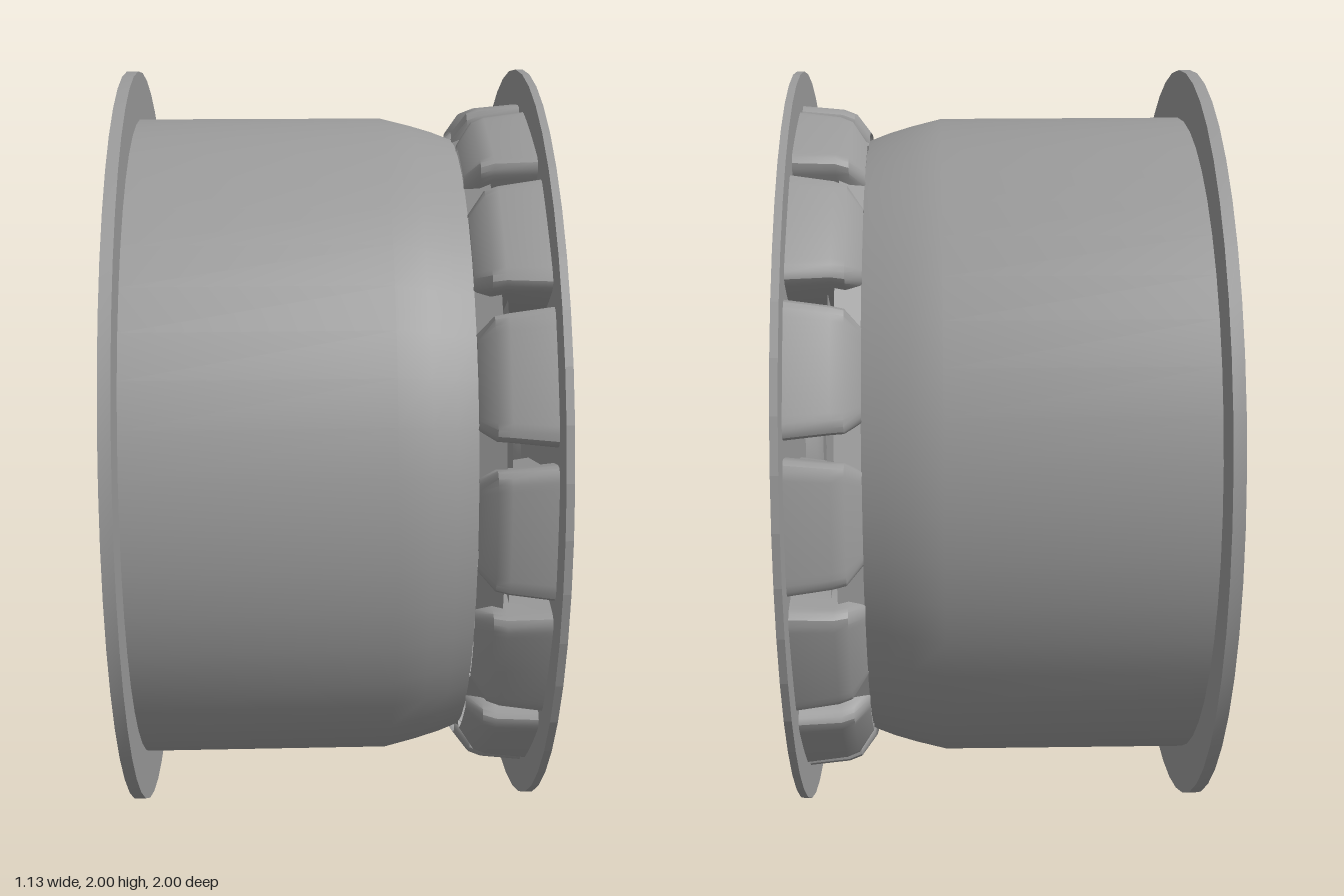
import * as THREE from 'three';
import { toCreasedNormals, mergeGeometries } from 'three/addons/utils/BufferGeometryUtils.js';

const COUNT = 15;
const STEP = (Math.PI * 2) / COUNT;
const metal = new THREE.MeshStandardMaterial({ color: 0x9a9a9a, side: THREE.DoubleSide });
const red = new THREE.MeshStandardMaterial({ color: 0x8a0010 });

// The wheel is built with its axle along z, then turned to +x at the end.
function add(parent, name, geometry, material = metal) {
  const mesh = new THREE.Mesh(geometry, material);
  mesh.name = name;
  parent.add(mesh);
  return mesh;
}

// Turned part from [radius, axle position] pairs
function turned(profile, segments = 48, crease = 0.5) {
  const g = new THREE.LatheGeometry(profile.map(([r, a]) => new THREE.Vector2(r, a)), segments);
  g.rotateX(Math.PI / 2);
  return toCreasedNormals(g, crease);
}

// Rounded wedge window: x runs outward along the radius, y across it
function windowOutline() {
  const s = new THREE.Shape();
  s.moveTo(0.43, -0.047);
  s.lineTo(0.86, -0.138);
  s.quadraticCurveTo(0.897, -0.146, 0.899, -0.112);
  s.quadraticCurveTo(0.908, 0, 0.899, 0.112);
  s.quadraticCurveTo(0.897, 0.146, 0.86, 0.138);
  s.lineTo(0.43, 0.047);
  s.bezierCurveTo(0.343, 0.036, 0.343, -0.036, 0.43, -0.047);
  return s.getSpacedPoints(90).slice(0, -1);
}

// Walled tunnel behind a window, deeper and inset towards the rim:
// four rings down the inside, then three back up the outside
function pocketGeometry(outline) {
  const rings = [[], [], [], [], [], [], []];
  for (const { x: u, y: v } of outline) {
    const deep = THREE.MathUtils.smoothstep(u, 0.64, 0.82);
    const half = Math.max(u * 0.2126 - 0.045, 0.035);
    const uB = 0.38 + (u - 0.37) * 0.962;
    const vB = v * (1 - 0.012 / half);
    const wall = 1 + (0.003 + 0.023 * deep) / half;
    const inside = [
      [u, v, 0.485],
      [uB, vB, 0.38 - 0.01 * deep],
      [uB - 0.012 * deep, vB * (1 - 0.03 * deep), 0.38 - 0.03 * deep],
      [uB - 0.058 * deep, vB * (1 - 0.12 * deep), 0.38 - 0.08 * deep],
    ];
    inside.forEach((p, k) => rings[k].push(p));
    for (let k = 2; k >= 0; k--) {
      const [pu, pv, pz] = inside[k];
      rings[6 - k].push([pu + 0.004 * deep, pv * wall, pz - (k === 2 ? 0.012 * deep : 0)]);
    }
  }
  const n = outline.length;
  const index = [];
  for (let k = 0; k < rings.length - 1; k++) {
    for (let i = 0; i < n; i++) {
      const a = k * n + i, b = k * n + ((i + 1) % n);
      index.push(a, b, a + n, b, b + n, a + n);
    }
  }
  const g = new THREE.BufferGeometry();
  g.setAttribute('position', new THREE.Float32BufferAttribute(rings.flat(2), 3));
  g.setIndex(index);
  return toCreasedNormals(g, 0.6);
}

// Sloping floor of the groove between two pockets, joining barrel to spoke
function grooveFloor() {
  const g = new THREE.PlaneGeometry(0.08, 0.13);
  g.rotateY(Math.PI / 2);
  g.rotateY(0.5);
  return g.translate(0.825, 0, 0.328);
}

export function createModel() {
  const model = new THREE.Group();
  model.name = 'wheel';
  const wheel = new THREE.Group();
  wheel.name = 'rimAssembly';
  wheel.rotation.y = Math.PI / 2;
  wheel.position.y = 1;
  model.add(wheel);

  // Rear flange and hollow barrel
  add(wheel, 'barrel', turned([
    [0.86, -0.563], [1, -0.563], [1, -0.533], [0.874, -0.533], [0.873, 0.11],
    [0.853, 0.19], [0.835, 0.25], [0.815, 0.302],
    [0.808, 0.3], [0.84, 0.18], [0.857, 0.1], [0.86, -0.563],
  ]));

  // Front plate pierced by the windows and the hub recess
  const outline = windowOutline();
  const plate = new THREE.Shape().absarc(0, 0, 1, 0, Math.PI * 2);
  plate.holes.push(new THREE.Path().absarc(0, 0, 0.28, 0, Math.PI * 2, true));
  const origin = new THREE.Vector2();
  for (let i = 0; i < COUNT; i++) {
    const angle = -Math.PI / 2 + i * STEP;
    plate.holes.push(new THREE.Path(outline.map((p) => p.clone().rotateAround(origin, angle))));
  }
  const plateGeometry = new THREE.ExtrudeGeometry(plate, { depth: 0.019, bevelEnabled: false, curveSegments: 24 });
  plateGeometry.translate(0, 0, 0.475);
  add(wheel, 'frontPlate', plateGeometry);

  // Window pockets, spoke backs and the grooves between pockets
  const pocket = pocketGeometry(outline);
  const pockets = [], backs = [], grooves = [];
  for (let i = 0; i < COUNT; i++) {
    const angle = -Math.PI / 2 + i * STEP;
    pockets.push(pocket.clone().rotateZ(angle));
    const strip = new THREE.PlaneGeometry(0.47, 0.11).rotateX(Math.PI);
    backs.push(strip.translate(0.585, 0, 0.38).rotateZ(angle + STEP / 2));
    grooves.push(grooveFloor().rotateZ(angle + STEP / 2));
  }
  add(wheel, 'windowPockets', mergeGeometries(pockets));
  add(wheel, 'spokeBacks', mergeGeometries(backs));
  add(wheel, 'pocketGrooves', mergeGeometries(grooves));

  // Hub: dished front with a raised seat, and flat back
  add(wheel, 'hubDish', turned([
    [0.285, 0.494], [0.278, 0.49], [0.262, 0.468], [0.24, 0.448], [0.22, 0.438], [0.2, 0.434],
    [0.2, 0.442], [0, 0.442],
  ]));
  add(wheel, 'hubBack', new THREE.CircleGeometry(0.385, 48).rotateX(Math.PI).translate(0, 0, 0.38));

  // Centre nut with a round cap
  const hex = new THREE.CylinderGeometry(0.14, 0.14, 0.055, 6).rotateX(Math.PI / 2);
  add(wheel, 'hexNut', toCreasedNormals(hex, 0.3).translate(0, 0, 0.46));
  add(wheel, 'nutCap', turned([
    [0.108, 0.43], [0.108, 0.563], [0.05, 0.563], [0.048, 0.561], [0, 0.561],
  ]));

  // Locking pins above and below the cap
  for (const side of [1, -1]) {
    const pin = add(wheel, 'lockingPin', new THREE.CylinderGeometry(0.013, 0.013, 0.016, 12), red);
    pin.position.set(0, side * 0.106, 0.502);
  }

  // Valve in the lowest window
  const valve = new THREE.Group();
  valve.name = 'valve';
  valve.position.set(0, -0.885, 0.38);
  valve.rotation.x = 0.5;
  const stem = [[0.032, 0], [0.032, 0.018], [0.026, 0.022], [0.03, 0.03], [0.028, 0.046], [0.016, 0.05], [0.016, 0.077], [0, 0.079]];
  add(valve, 'valveStem', turned(stem, 16).rotateX(-Math.PI / 2));
  wheel.add(valve);

  return model;
}
